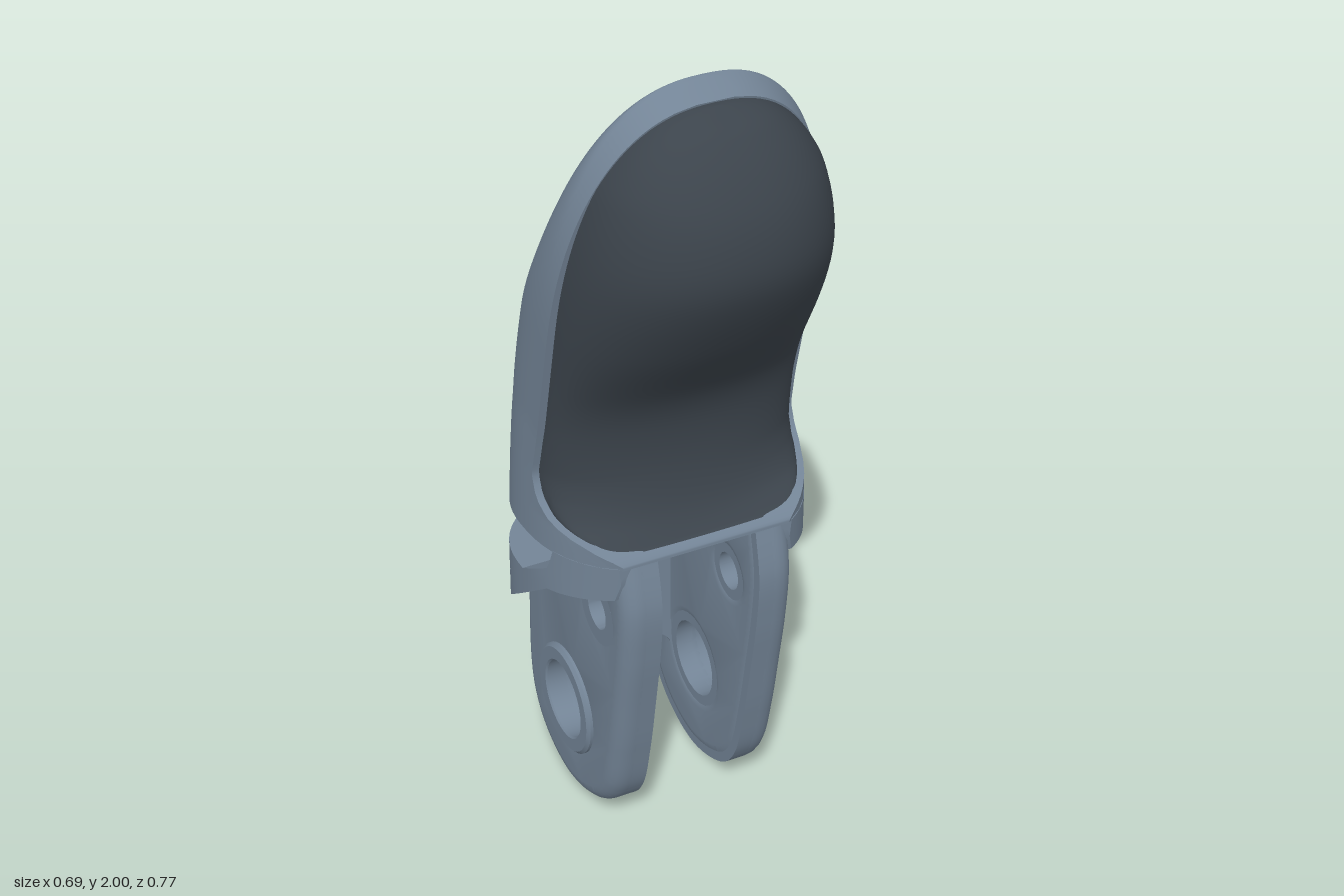
import * as THREE from 'three';
import { toCreasedNormals } from 'three/addons/utils/BufferGeometryUtils.js';

const slate = new THREE.MeshStandardMaterial({ color: 0x738496 });
const dark = new THREE.MeshStandardMaterial({ color: 0x3c444c });

// Interpolation through [key, value] pairs, smooth or with straight pieces
function table(p, smooth = true) {
  const last = p.length - 1;
  const slope = (i) => {
    const a = p[Math.max(0, i - 1)], b = p[Math.min(last, i + 1)];
    return (b[1] - a[1]) / (b[0] - a[0]);
  };
  return (y) => {
    if (y <= p[0][0]) return p[0][1];
    if (y >= p[last][0]) return p[last][1];
    let i = 0;
    while (y > p[i + 1][0]) i++;
    const h = p[i + 1][0] - p[i][0], t = (y - p[i][0]) / h, s = 1 - t;
    if (!smooth) return p[i][1] * s + p[i + 1][1] * t;
    return p[i][1] * (1 + 2 * t) * s * s + slope(i) * h * t * s * s
      + p[i + 1][1] * t * t * (3 - 2 * t) - slope(i + 1) * h * t * t * s;
  };
}

// Outline rules by height: back of the shell, rim plane, widest point, front limit, pad front
const backZ = table([[0.4, -0.375], [0.85, -0.357], [1, -0.345], [1.2, -0.32], [1.35, -0.28],
  [1.44, -0.24], [1.6, -0.13], [1.9, 0.072], [2, 0.14]]);
const rimZ = table([[0.85, 0.18], [0.865, 0.165], [0.89, 0.12], [0.92, 0.03], [0.96, -0.02],
  [1.01, -0.04], [1.1, -0.02], [1.5, 0.08], [1.9, 0.18], [1.965, 0.197], [2, 0.145]], false);
const midZ = table([[0.7, -0.1], [1.1, -0.08], [1.4, 0], [1.7, 0.09], [2, 0.14]]);
const limitZ = table([[0.75, 0.22], [0.92, 0.235], [1.1, 0.5], [1.4, 0.7], [2, 0.8]], false);
const padZ = table([[0.85, 0.175], [0.9, 0.14], [0.95, 0.12], [1.02, 0.108], [1.1, 0.108], [1.18, 0.122],
  [1.25, 0.155], [1.42, 0.28], [1.58, 0.37], [1.68, 0.387], [1.8, 0.36], [1.92, 0.28], [1.965, 0.2]]);
const power = table([[0.85, 2.3], [1.2, 2.4], [2, 2.7]]);
const arch = (t, n) => Math.pow(Math.max(0, 1 - Math.pow(Math.min(1, Math.abs(t)), n)), 1 / n);
const halfWidth = (y) => (0.345 - 0.015 * Math.min(1, Math.max(0, (y - 0.75) / 0.4))) * arch(Math.max(0, (y - 1.4) / 0.6), 2.4);
const centreZ = (y) => Math.min(midZ(y), rimZ(y) - 0.004);

// Half width of the outer skin at a given height and depth
function sideX(y, z, width = halfWidth(y)) {
  const c = centreZ(y);
  return z > c ? width * arch((z - c) / (limitZ(y) - c), 2.4) : width * arch((c - z) / (c - backZ(y)), power(y));
}

// Closed solid through rings of [x, y, z], with fan caps
function loft(rings, crease) {
  const n = rings[0].length, pos = rings.flat(2), index = [];
  for (let i = 0; i < rings.length - 1; i++) for (let j = 0; j < n; j++) {
    const a = i * n + j, b = i * n + (j + 1) % n;
    index.push(a, a + n, b, b, a + n, b + n);
  }
  [rings[0], rings[rings.length - 1]].forEach((ring, end) => {
    const centre = pos.length / 3, start = end ? (rings.length - 1) * n : 0;
    pos.push(...[0, 1, 2].map((k) => ring.reduce((s, p) => s + p[k], 0) / n));
    for (let j = 0; j < n; j++) {
      const a = start + j, b = start + (j + 1) % n;
      if (end) index.push(centre, b, a); else index.push(centre, a, b);
    }
  });
  const g = new THREE.BufferGeometry();
  g.setAttribute('position', new THREE.Float32BufferAttribute(pos, 3));
  g.setIndex(index);
  return toCreasedNormals(g, crease);
}

const rows = (y0, y1, n) => Array.from({ length: n + 1 }, (_, i) => y0 + (y1 - y0) * (1 - Math.cos(Math.PI * i / n)) / 2);

function shellRing(y) {
  const w = halfWidth(y), c = centreZ(y), b = backZ(y), r = rimZ(y), e = 2 / power(y), half = [];
  for (let i = 0; i < 8; i++) {
    // The rim leans inward around the tip
    const z = r + (c - r) * i / 8, lean = Math.min(0.035, 2 - y) * (1 - i / 8);
    half.push([sideX(y, z, halfWidth(y + lean)), y, z]);
  }
  for (let i = 0; i <= 20; i++) {
    const a = i / 20 * Math.PI / 2;
    half.push([w * Math.pow(Math.max(0, Math.cos(a)), e), y, c - (c - b) * Math.pow(Math.sin(a), e)]);
  }
  return [...half.map(([x, , z]) => [-x, y, z]), ...half.slice(0, -1).reverse()];
}

function padRing(y) {
  const r = rimZ(y), f = Math.max(padZ(y), r + 0.002), ring = [];
  const w = Math.max(0, Math.min(sideX(y, r) - 0.018, halfWidth(Math.min(2, y + 0.04))));
  for (let i = 0; i <= 36; i++) {
    const a = i / 36 * Math.PI, k = Math.cos(a);
    ring.push([w * Math.sign(k) * Math.pow(Math.abs(k), 0.92), y, r - 0.01 + (f - r + 0.01) * Math.pow(Math.max(0, Math.sin(a)), 0.92)]);
  }
  return ring;
}

// Side rib between a lower and an upper edge (both [z, y] lists), its outside following the skin
function rib(z0, z1, lower, upper) {
  const low = table(lower, false), high = table(upper, false), n = 50, rings = [];
  for (let i = 0; i <= n; i++) {
    const z = z1 + (z0 - z1) * i / n, a = low(z), b = Math.max(high(z), a + 0.002), ring = [[0.18, a, z]];
    for (let k = 0; k <= 4; k++) {
      const y = a + (b - a) * k / 4;
      ring.push([Math.max(0.19, sideX(y, z)), y, z]);
    }
    rings.push([...ring, [0.18, b, z]]);
  }
  return loft(rings, 0.5);
}

// Extrude a (-z, y) shape sideways, starting at x
function sideways(shape, x, options) {
  return new THREE.ExtrudeGeometry(shape, { bevelEnabled: false, curveSegments: 12, ...options })
    .rotateY(Math.PI / 2).translate(x, 0, 0);
}

const PIVOT = [-0.125, 0.27, 0.098], PIN = [0.05, 0.65, 0.047];

function legShape() {
  const s = new THREE.Shape();
  const line = [[0.175, 0.85], [0.2, 0.72], [0.19, 0.58], [0.165, 0.43], [0.135, 0.27], [0.095, 0.13], [0.02, 0.045],
    [-0.12, 0], [-0.25, 0.03], [-0.34, 0.11], [-0.378, 0.24], [-0.372, 0.5], [-0.356, 0.72], [-0.332, 0.86]];
  s.moveTo(-line[0][0], line[0][1]);
  s.splineThru(line.slice(1).map(([z, y]) => new THREE.Vector2(-z, y)));
  s.lineTo(0.28, 0.93);
  s.lineTo(0.05, 0.93);
  s.closePath();
  for (const [z, y, r] of [PIVOT, PIN]) s.holes.push(new THREE.Path().absarc(-z, y, r, 0, Math.PI * 2, true));
  return s;
}

// Flat ring around a bore, running sideways from x0 to x1, with chamfer c
function collar([z, y, r], outer, x0, x1, c) {
  const profile = [[r, x0], [outer, x0], [outer, x1 - c], [outer - c, x1], [r + c / 2, x1], [r, x1 - c / 2], [r, x0]];
  const g = new THREE.LatheGeometry(profile.map(([a, b]) => new THREE.Vector2(a, b)), 40);
  return toCreasedNormals(g.rotateZ(-Math.PI / 2).translate(0, y, z), 0.5);
}

// Wall joining the legs at the back, arched at its lower edge
function webGeometry() {
  const s = new THREE.Shape();
  s.moveTo(-0.13, 0.2);
  s.quadraticCurveTo(-0.125, 0.275, -0.07, 0.275);
  s.lineTo(0.07, 0.275);
  s.quadraticCurveTo(0.125, 0.275, 0.13, 0.2);
  for (const y of [0.55, 0.72, 0.86]) s.lineTo(0.13, y);
  for (const y of [0.86, 0.72, 0.55]) s.lineTo(-0.13, y);
  const back = table([[0.27, -0.376], [0.55, -0.368], [0.72, -0.356], [0.86, -0.345]], false);
  const g = new THREE.ExtrudeGeometry(s, { depth: 0.12, bevelEnabled: false }).translate(0, 0, -0.37), p = g.attributes.position;
  for (let i = 0; i < p.count; i++) if (p.getZ(i) < -0.3) p.setZ(i, back(p.getY(i)));
  return toCreasedNormals(g, 0.5);
}

export function createModel() {
  const model = new THREE.Group();
  const add = (parent, name, geometry, material = slate) => {
    const mesh = new THREE.Mesh(geometry, material);
    mesh.name = name;
    parent.add(mesh);
  };
  add(model, 'backShell', loft(rows(0.842, 2, 70).map(shellRing), 0.6));
  add(model, 'gripPad', loft(rows(0.866, 1.96, 60).map(padRing), 0.7), dark);
  add(model, 'backWeb', webGeometry());

  // Parts of one side: leg plates, and ribs framing the two side pockets
  const inner = toCreasedNormals(sideways(legShape(), 0.125, { depth: 0.045 }), 0.5);
  const outer = toCreasedNormals(sideways(legShape(), 0.165, {
    depth: 0.012, bevelEnabled: true, bevelThickness: 0.043, bevelSize: 0.04, bevelOffset: -0.04, bevelSegments: 5,
  }), 0.5);
  const diagonal = [[-0.345, 0.465], [0.02, 0.73], [0.165, 0.755], [0.175, 0.8]];
  const lowerRib = rib(-0.342, 0.175, diagonal,
    [[-0.342, 0.56], [-0.3, 0.575], [-0.185, 0.65], [-0.085, 0.725], [0.025, 0.79], [0.04, 0.845]]);
  const middleRib = rib(-0.342, -0.08, [[-0.3, 0.672], [-0.23, 0.672], [-0.2, 0.655], [-0.18, 0.64], [-0.08, 0.71]], [[-0.34, 0.725], [-0.08, 0.725]]);
  const backRib = rib(-0.342, -0.302, diagonal, [[-0.34, 0.845], [-0.3, 0.845]]);

  for (const side of [1, -1]) {
    const half = new THREE.Group();
    half.name = side > 0 ? 'leftSide' : 'rightSide';
    half.scale.x = side;
    add(half, 'legInnerPlate', inner);
    add(half, 'legOuterPlate', outer);
    add(half, 'pivotCollar', collar(PIVOT, 0.142, 0.13, 0.235, 0.008));
    add(half, 'pinCollar', collar(PIN, 0.088, 0.13, 0.22, 0.001));
    add(half, 'lowerRib', lowerRib);
    add(half, 'middleRib', middleRib);
    add(half, 'backRib', backRib);
    model.add(half);
  }
  return model;
}
